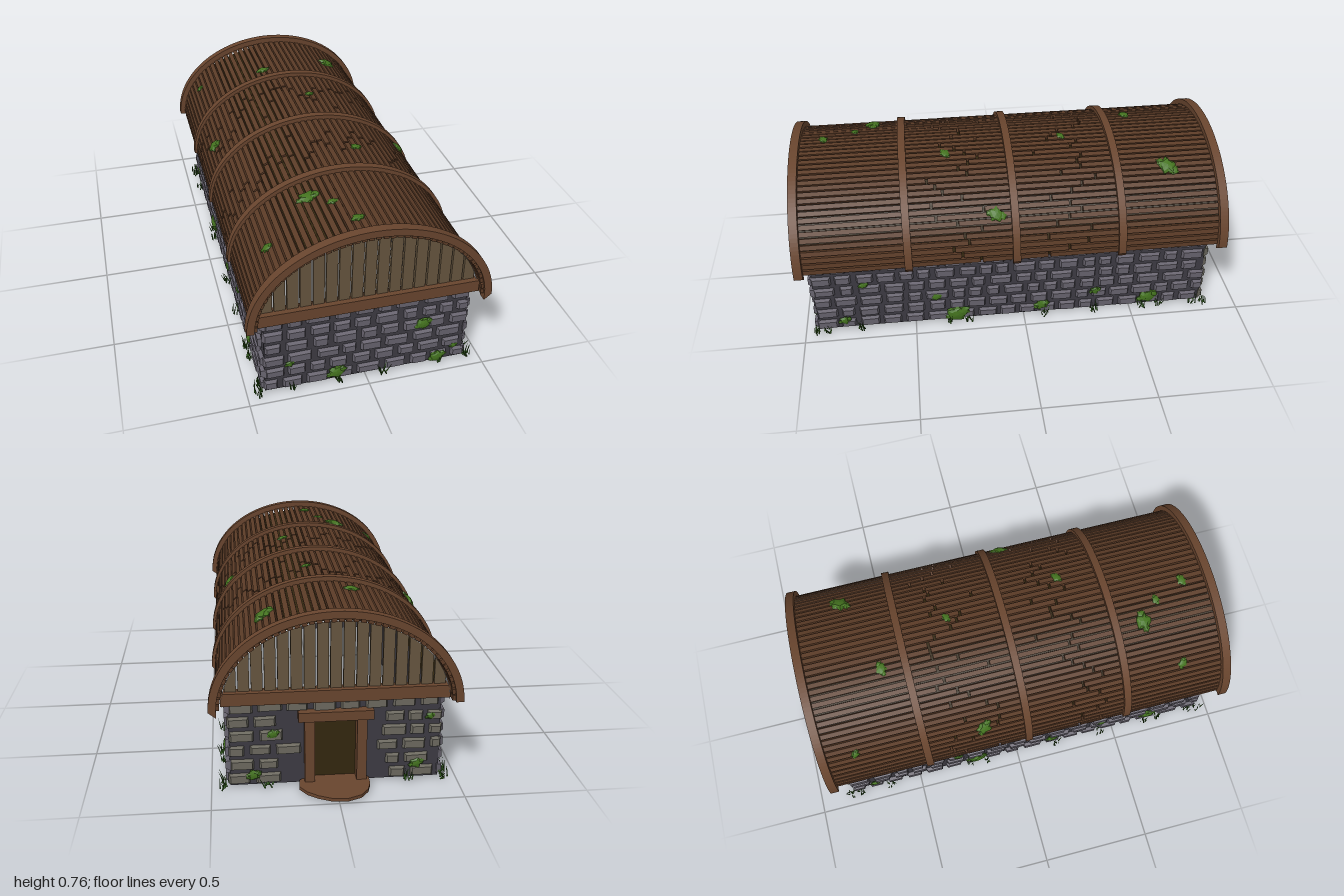
import * as THREE from 'three';
import { mergeGeometries } from 'three/addons/utils/BufferGeometryUtils.js';

const mat = (name, color, side = THREE.FrontSide) => {
  const m = new THREE.MeshStandardMaterial({ color, side });
  m.name = name;
  return m;
};

const BASE = 0.02, EAVE = 0.38, FRONT = 0.94, BACK = -0.835, HALF = 0.425;

export function createModel() {
  const model = new THREE.Group();
  const M = {
    wood: mat('brown timber', 0x69452e),
    roof: mat('roof plank brown', 0x5c3c27),
    gable: mat('weathered plank', 0x66553f),
    dark: mat('dark wood', 0x33270f),
    stone: mat('grey stone', 0x67636e),
    backStone: mat('warm grey stone', 0x6c695f),
    mortar: mat('dark mortar', 0x3d3b43),
    moss: mat('moss green', 0x44731f),
    grass: mat('grass green', 0x2c5418, THREE.DoubleSide),
    lining: mat('pale lining', 0xd0d4d8, THREE.DoubleSide),
  };
  let seed = 7;
  const rnd = () => (seed = (seed * 16807) % 2147483647) / 2147483647;

  // Merge faceted pieces into one named mesh
  const add = (name, material, geos) => {
    const flat = geos.map((g) => {
      const n = g.index ? g.toNonIndexed() : g;
      n.deleteAttribute('uv');
      n.computeVertexNormals();
      return n;
    });
    const mesh = new THREE.Mesh(mergeGeometries(flat), material);
    mesh.name = name;
    model.add(mesh);
  };
  const box = (x0, x1, y0, y1, z0, z1) =>
    new THREE.BoxGeometry(x1 - x0, y1 - y0, z1 - z0).translate((x0 + x1) / 2, (y0 + y1) / 2, (z0 + z1) / 2);

  // Wall cores, open below, with a doorway at the back
  const T = 0.03, DOOR = 0.09, DOORTOP = 0.31;
  add('wallCore', M.mortar, [
    box(-HALF, HALF, BASE, 0.39, FRONT - T, FRONT),
    box(-HALF, -HALF + T, BASE, 0.39, BACK, FRONT),
    box(HALF - T, HALF, BASE, 0.39, BACK, FRONT),
    box(-HALF, -DOOR, BASE, 0.39, BACK, BACK + T),
    box(DOOR, HALF, BASE, 0.39, BACK, BACK + T),
    box(-DOOR, DOOR, DOORTOP, 0.39, BACK, BACK + T),
  ]);

  // One chamfered stone, facing +z
  const stone = (u, v, w, h) => {
    const g = new THREE.BoxGeometry(w, h, 0.022);
    const p = g.attributes.position;
    const sx = 1 - 0.018 / w, sy = 1 - 0.016 / h;
    for (let i = 0; i < p.count; i++) {
      if (p.getZ(i) > 0) p.setXY(i, p.getX(i) * sx, p.getY(i) * sy);
    }
    return g.rotateZ((rnd() - 0.5) * 0.05).translate(u, v, 0.005);
  };
  // Courses of stone along a wall of the given length
  const courses = (length, skip = () => false) => {
    const out = [];
    for (let r = 0; r < 6; r++) {
      const v = 0.05 + r * 0.0627;
      let u = -length / 2 - (r % 2 ? 0.0 : 0.006);
      while (u < length / 2 - 0.03) {
        const w = Math.min(0.06 + rnd() * 0.045, length / 2 + 0.008 - u);
        if (!skip(u, u + w, v)) out.push(stone(u + w / 2, v + (rnd() - 0.5) * 0.004, w, 0.043 + rnd() * 0.007));
        u += w + 0.011 + rnd() * 0.01;
      }
    }
    return out;
  };
  const len = FRONT - BACK, mid = (FRONT + BACK) / 2;
  const byDoor = (a, b, v) => b > -0.125 && a < 0.125 && v < 0.36;
  add('frontStones', M.stone, courses(2 * HALF).map((g) => g.translate(0, 0, FRONT)));
  add('backStones', M.backStone, courses(2 * HALF, byDoor).map((g) => g.rotateY(Math.PI).translate(0, 0, BACK)));
  add('leftStones', M.stone, courses(len).map((g) => g.rotateY(Math.PI / 2).translate(HALF, 0, mid)));
  add('rightStones', M.stone, courses(len).map((g) => g.rotateY(-Math.PI / 2).translate(-HALF, 0, mid)));

  // Doorway and doorstep
  add('doorFrame', M.wood, [
    box(-0.125, -0.085, BASE, 0.32, BACK - 0.03, BACK + T),
    box(0.085, 0.125, BASE, 0.32, BACK - 0.03, BACK + T),
    box(-0.15, 0.15, 0.305, 0.345, BACK - 0.037, BACK + T),
  ]);
  add('door', M.dark, [box(-0.09, 0.09, BASE, 0.31, BACK + 0.02, BACK + 0.028)]);
  const step = new THREE.CylinderGeometry(1, 1, 0.014, 15);
  const sp = step.attributes.position;
  for (let i = 0; i < sp.count; i++) {
    const a = Math.atan2(sp.getZ(i), sp.getX(i));
    const k = 1 + 0.06 * Math.sin(3 * a + 1);
    sp.setXYZ(i, sp.getX(i) * k * 0.145, sp.getY(i), sp.getZ(i) * k * 0.115);
  }
  add('doorstep', M.wood, [step.translate(0, 0.027, -0.885)]);

  // Curved underlay of the roof: dark above, pale beneath
  const vault = (name, material, a, b) => {
    const g = new THREE.CylinderGeometry(1, 1, 1.84, 48, 1, true, -Math.PI / 2, Math.PI);
    g.rotateX(-Math.PI / 2).scale(a, b, 1).translate(0, EAVE, 0.045);
    const mesh = new THREE.Mesh(g, material);
    mesh.name = name;
    model.add(mesh);
  };
  vault('roofUnderlay', M.dark, 0.456, 0.35);
  vault('roofLining', M.lining, 0.45, 0.345);
  add('wallPlates', M.dark, [-1, 1].map((s) => box(s * 0.42 - 0.025, s * 0.42 + 0.025, 0.388, 0.44, BACK + 0.02, FRONT - 0.02)));

  // Roof planks, evenly spaced along the arch and jointed between the ribs
  const ribZ = [0.98, 0.51, 0.038, -0.432, -0.885];
  const arch = new THREE.EllipseCurve(0, EAVE, 0.466, 0.36, 0, Math.PI);
  const planks = [], N = 46;
  for (let i = 0; i < N; i++) {
    const t = (i + 0.5) / N, p = arch.getPointAt(t), d = arch.getTangentAt(t);
    for (let s = 0; s < 4; s++) {
      const z0 = ribZ[s] + (s === 0 ? 0.008 + rnd() * 0.006 : 0);
      const z1 = ribZ[s + 1] - (s === 3 ? 0.008 + rnd() * 0.006 : 0);
      const cut = z0 + (z1 - z0) * (0.2 + 0.6 * rnd());
      const parts = s === 1 || s === 2 ? [[z0, cut + 0.005], [cut - 0.005, z1]] : [[z0, z1]];
      for (const [a, b] of parts) {
        planks.push(new THREE.BoxGeometry(0.0215, 0.018 + rnd() * 0.003, a - b)
          .rotateZ(Math.atan2(d.y, d.x)).translate(p.x, p.y, (a + b) / 2));
      }
    }
  }
  add('roofPlanks', M.roof, planks);

  // Arched ribs, with the left foot a little longer
  const rib = (z, a, b, depth) => {
    const s = new THREE.Shape();
    s.moveTo(a, 0.355);
    s.absellipse(0, EAVE, a, b, 0, Math.PI, false);
    s.lineTo(-0.469, EAVE);
    s.absellipse(0, EAVE, 0.469, 0.365, Math.PI, 0, true);
    s.lineTo(0.469, 0.355);
    return new THREE.ExtrudeGeometry(s, { depth, bevelEnabled: false, curveSegments: 36 }).translate(0, 0, z - depth / 2);
  };
  add('roofRibs', M.wood, ribZ.map((z, i) => (i % 4 ? rib(z, 0.488, 0.388, 0.034) : rib(z, 0.5, 0.395, 0.038))));

  // Gable boards under the arch, with a tie beam at each end
  const gableTop = (x) => EAVE + 0.345 * Math.sqrt(Math.max(0, 1 - (x / 0.45) ** 2));
  const boards = [];
  for (const z of [FRONT, BACK - 0.015]) {
    for (let i = -8; i <= 8; i++) {
      const x0 = i * 0.0515 - 0.0225, x1 = x0 + 0.045;
      const s = new THREE.Shape();
      s.moveTo(x0, 0.39);
      s.lineTo(x1, 0.39);
      for (let k = 0; k <= 4; k++) {
        const x = x1 + (x0 - x1) * k / 4;
        s.lineTo(x, Math.max(0.4, gableTop(x)));
      }
      boards.push(new THREE.ExtrudeGeometry(s, { depth: 0.015, bevelEnabled: false }).translate(0, 0, z));
    }
  }
  add('gableBoards', M.gable, boards);
  add('tieBeams', M.wood, [
    box(-0.452, 0.452, 0.388, 0.44, FRONT - 0.01, FRONT + 0.037),
    box(-0.452, 0.452, 0.388, 0.44, BACK - 0.037, BACK + 0.01),
  ]);

  // Ragged moss cushions lying against a surface
  const moss = [];
  const Z = new THREE.Vector3(0, 0, 1);
  const cushion = (x, y, z, n, r) => {
    const q = new THREE.Quaternion().setFromUnitVectors(Z, n.normalize());
    for (const [k, ox, oy] of [[0.85, 0, 0], [0.5, 0.6, 0.25], [0.4, -0.65, -0.3]]) {
      const g = new THREE.IcosahedronGeometry(r * k, 1), p = g.attributes.position, ph = rnd() * 6;
      for (let i = 0; i < p.count; i++) {
        const a = Math.atan2(p.getY(i), p.getX(i)), f = 1 + 0.22 * Math.sin(5 * a + ph);
        p.setXYZ(i, p.getX(i) * f, p.getY(i) * f * 0.85, p.getZ(i) * 0.4);
      }
      moss.push(g.translate(ox * r, oy * r, 0).applyQuaternion(q).translate(x, y, z));
    }
  };
  const V = (x, y, z) => new THREE.Vector3(x, y, z);
  for (const [x, y, r] of [[0.235, 0.245, 0.036], [-0.325, 0.155, 0.02], [-0.13, 0.065, 0.04], [0.31, 0.05, 0.036], [0.38, 0.095, 0.018]])
    cushion(x, y, FRONT + 0.014, V(0, 0, 1), r);
  for (const [x, y, r] of [[0.33, 0.07, 0.03], [-0.33, 0.09, 0.03], [0.25, 0.25, 0.025], [-0.38, 0.3, 0.02]])
    cushion(x, y, BACK - 0.014, V(0, 0, -1), r);
  for (const [z, y, r] of [[0.72, 0.27, 0.022], [0.4, 0.17, 0.027], [0.31, 0.06, 0.055], [0.82, 0.07, 0.028],
    [-0.08, 0.07, 0.035], [-0.33, 0.13, 0.026], [-0.58, 0.07, 0.045]]) {
    cushion(HALF + 0.012, y, z, V(1, 0, 0), r);
    cushion(-HALF - 0.012, y + 0.02, 0.1 - z, V(-1, 0, 0), r * 0.9);
  }
  for (const [x, z, r] of [[-0.4, -0.74, 0.025], [0.27, -0.66, 0.055], [-0.1, -0.54, 0.035], [-0.42, -0.16, 0.045], [0.06, -0.21, 0.025],
    [0.4, 0.12, 0.045], [0.13, 0.32, 0.03], [-0.17, 0.64, 0.05], [-0.09, 0.72, 0.025], [-0.37, 0.78, 0.03], [-0.03, 0.86, 0.03]]) {
    const h = 0.37 * Math.sqrt(1 - (x / 0.476) ** 2);
    cushion(x, EAVE + h, z, V(x / 0.476 ** 2, h / 0.37 ** 2, 0), r * 0.9);
  }
  add('moss', M.moss, moss);

  // Grass tufts around the foot of the walls
  const blades = [];
  const tuft = (x, z) => {
    for (let i = 0; i < 9; i++) {
      const h = 0.03 + rnd() * 0.035;
      blades.push(new THREE.ConeGeometry(0.004, h, 3, 1, true).translate(0, h / 2, 0)
        .rotateX((rnd() - 0.5) * 0.7).rotateZ((rnd() - 0.5) * 0.9)
        .translate(x + (rnd() - 0.5) * 0.035, 0.012 + rnd() * 0.008, z + (rnd() - 0.5) * 0.035));
    }
  };
  for (const x of [-0.45, -0.32, -0.12, 0.07, 0.32, 0.45]) tuft(x, FRONT + 0.015);
  for (const x of [-0.45, -0.3, 0.27, 0.45]) tuft(x, BACK - 0.015);
  for (const z of [0.9, 0.75, 0.34, 0.25, -0.1, -0.33, -0.56, -0.64, -0.8]) {
    tuft(0.445, z);
    tuft(-0.445, 0.1 - z);
  }
  add('grass', M.grass, blades);

  return model;
}
